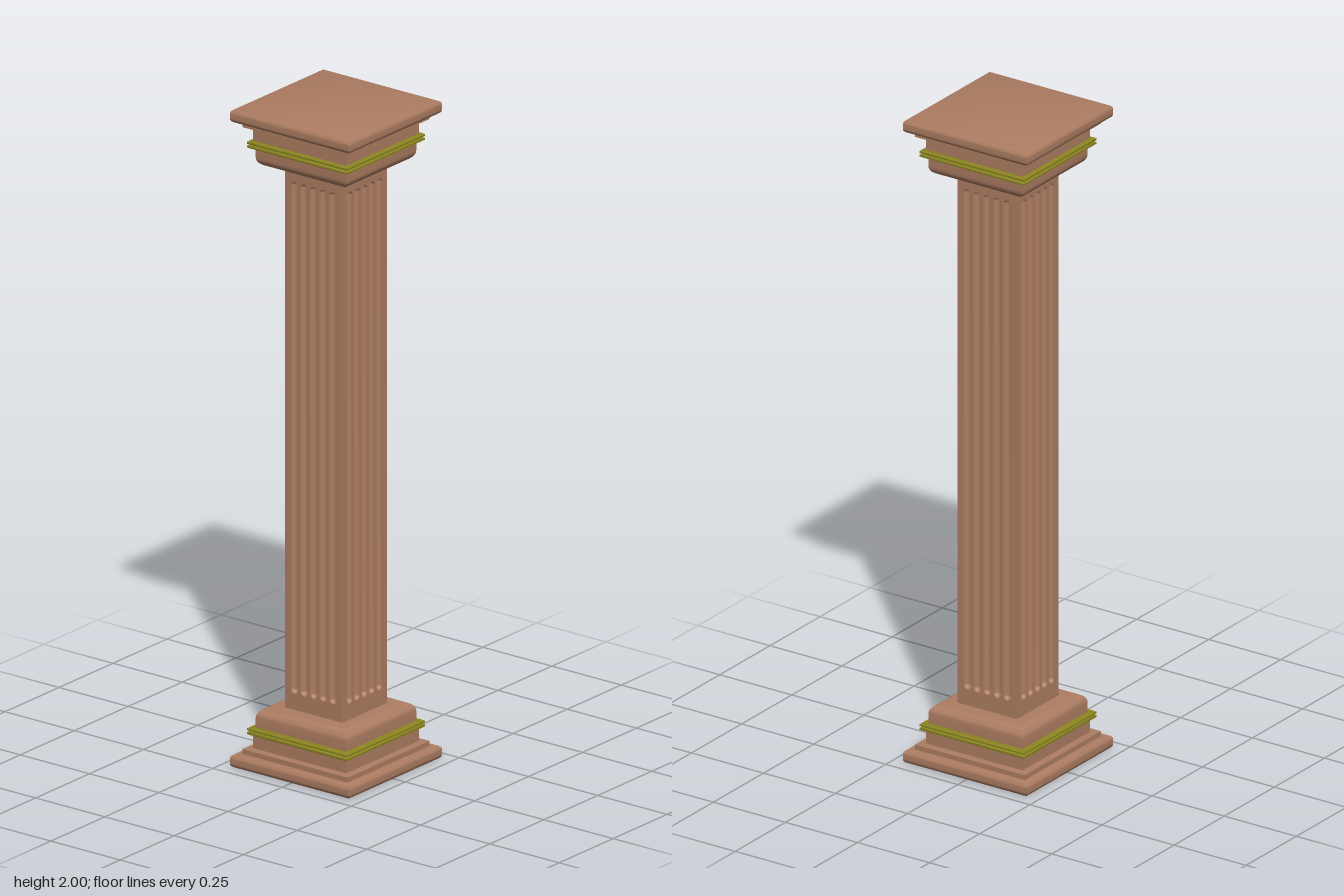
import * as THREE from 'three';
import { mergeGeometries, toCreasedNormals } from 'three/addons/utils/BufferGeometryUtils.js';

const SHAFT = 0.103, BOTTOM = 0.17, TOP = 1.83;   // shaft half-width and ends
const FLUTE_LOW = 0.225, FLUTE_HIGH = 1.78, FLUTE_R = 0.0132, FLUTE_STEP = 0.0345;

function indexed(points, index) {
  const g = new THREE.BufferGeometry();
  g.setAttribute('position', new THREE.Float32BufferAttribute(points, 3));
  g.setIndex(index);
  g.computeVertexNormals();
  return g;
}

// Repeats the front geometry around all four sides
function fourSides(geo) {
  return mergeGeometries([0, 1, 2, 3].map(i => geo.clone().rotateY(i * Math.PI / 2)));
}

// Square moulding with mitred corners from a [half-width, y] profile, bottom to top
function squareMoulding(profile) {
  const points = [], index = [];
  profile.forEach(([h, y], i) => {
    points.push(-h, y, h, h, y, h);
    if (i) {
      const a = 2 * i - 2;
      index.push(a, a + 1, a + 3, a, a + 3, a + 2);
    }
  });
  return toCreasedNormals(fourSides(indexed(points, index)), 0.65);
}

// Quarter-round points about (cx, cy)
function arc(cx, cy, rx, ry, from, to, n = 6) {
  return Array.from({ length: n + 1 }, (_, i) => {
    const a = from + (to - from) * i / n;
    return [cx + rx * Math.cos(a), cy + ry * Math.sin(a)];
  });
}

// Counter-clockwise outline of a slot with round ends
function slot(cx, r, n = 10) {
  const pts = [];
  for (const [cy, start] of [[FLUTE_HIGH - FLUTE_R, 0], [FLUTE_LOW + FLUTE_R, Math.PI]]) {
    for (let i = 0; i <= n; i++) {
      const a = start + Math.PI * i / n;
      pts.push(new THREE.Vector2(cx + r * Math.cos(a), cy + r * Math.sin(a)));
    }
  }
  return pts;
}

// Concave groove with scooped ends
function fluteGeometry(cx, rings = 8) {
  const points = [], index = [];
  let count = 0;
  for (let k = 0; k <= rings; k++) {
    const a = Math.PI / 2 * k / rings;
    const ring = slot(cx, FLUTE_R * Math.cos(a));
    count = ring.length;
    ring.forEach(p => points.push(p.x, p.y, SHAFT - FLUTE_R * Math.sin(a)));
  }
  for (let k = 0; k < rings; k++) {
    for (let i = 0; i < count; i++) {
      const j = (i + 1) % count, o = k * count, n = o + count;
      index.push(o + i, o + j, n + j, o + i, n + j, n + i);
    }
  }
  return indexed(points, index);
}

export function createModel() {
  const model = new THREE.Group();
  model.name = 'column';
  const stone = new THREE.MeshStandardMaterial({ color: 0xad7d62 });
  stone.name = 'terracotta stone';
  const gold = new THREE.MeshStandardMaterial({ color: 0x8a8420 });
  gold.name = 'olive gold';

  const add = (parent, name, geo, mat) => {
    const mesh = new THREE.Mesh(geo, mat);
    mesh.name = name;
    parent.add(mesh);
  };

  // Shaft faces with slots, and the flutes behind them
  const centres = [-2, -1, 0, 1, 2].map(i => i * FLUTE_STEP);
  const face = new THREE.Shape([[-SHAFT, BOTTOM], [SHAFT, BOTTOM], [SHAFT, TOP], [-SHAFT, TOP]]
    .map(p => new THREE.Vector2(...p)));
  centres.forEach(c => face.holes.push(new THREE.Path(slot(c, FLUTE_R).reverse())));
  add(model, 'shaft', fourSides(new THREE.ShapeGeometry(face).translate(0, 0, SHAFT)), stone);
  add(model, 'flutes', fourSides(mergeGeometries(centres.map(c => fluteGeometry(c)))), stone);

  // Mouldings of the base; the capital is the same stack turned over
  const H = Math.PI / 2;
  const plinth = squareMoulding([
    [0, 0], ...arc(0.203, 0.012, 0.012, 0.012, -H, 0),
    ...arc(0.203, 0.028, 0.012, 0.012, 0, H), [0.18, 0.04]]);
  const step = squareMoulding([[0.18, 0.04], [0.19, 0.04], [0.19, 0.055], [0.16, 0.057]]);
  const block = squareMoulding([[0.16, 0.056], [0.168, 0.056], [0.168, 0.099], [0.15, 0.099]]);
  const band = squareMoulding([
    [0.15, 0.097], [0.176, 0.097], [0.181, 0.1], [0.181, 0.106], [0.175, 0.109],
    [0.181, 0.112], [0.181, 0.117], [0.176, 0.12], [0.15, 0.12]]);
  const cushion = squareMoulding([
    [0.15, 0.119], [0.163, 0.119], [0.163, 0.148],
    ...arc(0.135, 0.148, 0.028, 0.028, 0, H), [0.1, 0.176]]);

  for (const name of ['base', 'capital']) {
    const end = new THREE.Group();
    end.name = name;
    add(end, 'plinth', plinth, stone);
    add(end, 'step', step, stone);
    add(end, 'block', block, stone);
    add(end, 'goldBand', band, gold);
    add(end, 'cushion', cushion, stone);
    if (name === 'capital') {
      end.rotation.x = Math.PI;
      end.position.y = 2;
    }
    model.add(end);
  }
  return model;
}
